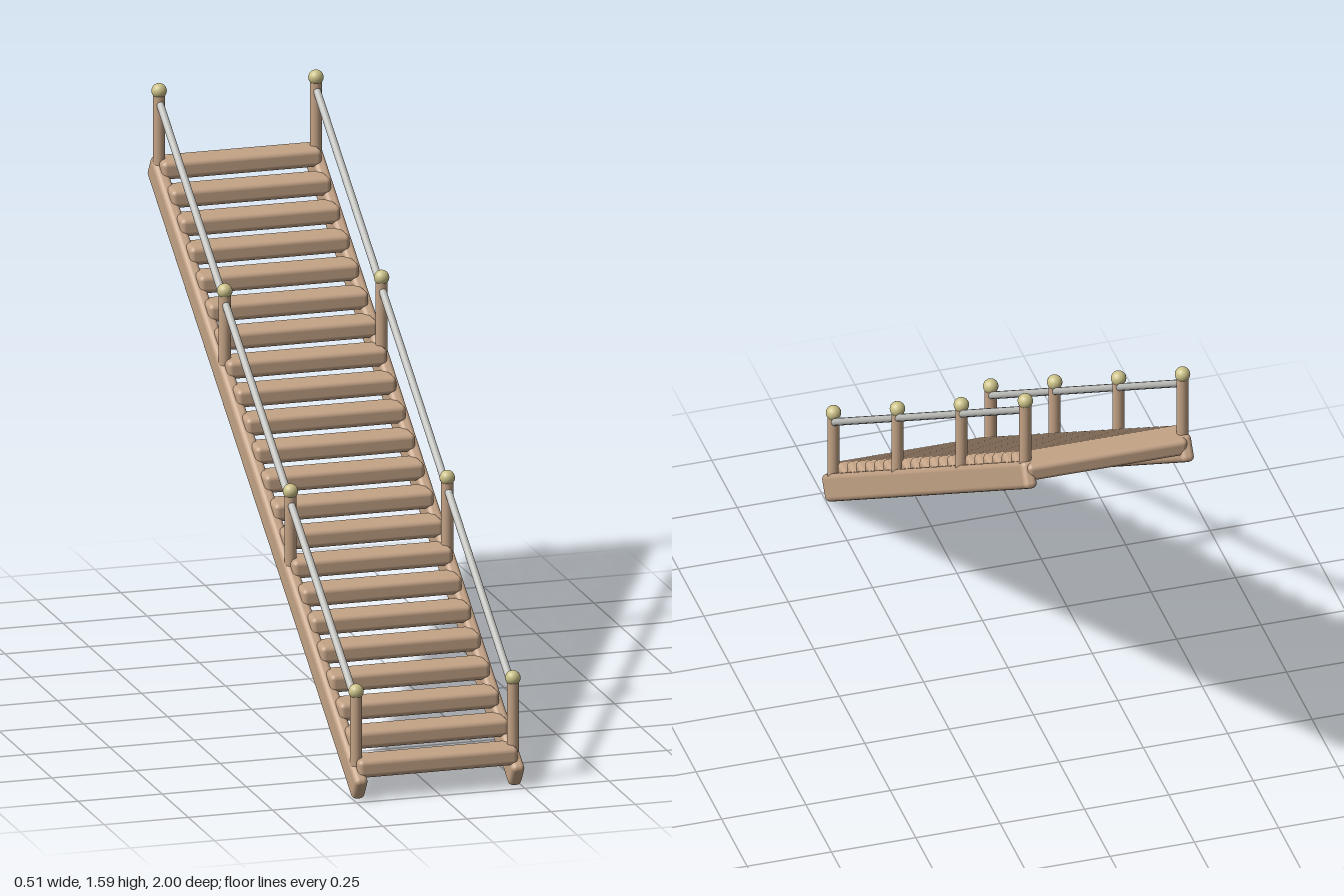
import * as THREE from 'three';
import { RoundedBoxGeometry } from 'three/addons/geometries/RoundedBoxGeometry.js';

const material = (name, color) => {
  const m = new THREE.MeshStandardMaterial({ color });
  m.name = name;
  return m;
};

export function createModel() {
  const wood = material('wood', 0xc4a386);
  const metal = material('rail metal', 0xc0c0bd);
  const brass = material('pale brass', 0xcbc188);

  const stairs = new THREE.Group();
  stairs.name = 'staircase';

  const add = (name, geometry, mat, x, y, z, tilt = 0) => {
    const mesh = new THREE.Mesh(geometry, mat);
    mesh.name = name;
    mesh.position.set(x, y, z);
    mesh.rotation.x = tilt;
    stairs.add(mesh);
    return mesh;
  };

  const sideX = 0.233;
  const slope = Math.atan2(1.31, 1.96);

  // Treads climbing from the front to the back
  const treadCount = 22;
  const treadGeo = new RoundedBoxGeometry(0.475, 0.053, 0.096, 4, 0.015);
  for (let i = 0; i < treadCount; i++) {
    const t = i / (treadCount - 1);
    add('tread', treadGeo, wood, 0, 0.092 + 1.25 * t, 0.937 - 1.874 * t);
  }

  // Sloping stringers, handrails, posts and caps on both sides
  const stringerGeo = new RoundedBoxGeometry(0.039, 0.08, 2.364, 4, 0.015);
  const railGeo = new THREE.CylinderGeometry(0.011, 0.011, Math.hypot(1.88, 1.255), 16);
  const postGeo = new THREE.CylinderGeometry(0.0172, 0.0172, 0.22, 20);
  const capGeo = new THREE.SphereGeometry(0.022, 20, 14);
  for (const side of [-1, 1]) {
    const x = side * sideX;
    add('stringer', stringerGeo, wood, x, 0.686, 0, slope);
    add('handrail', railGeo, metal, x, 0.909, 0, slope - Math.PI / 2);
    for (let i = 0; i < 4; i++) {
      const y = 0.313 + 0.4183 * i;
      const z = 0.94 - 0.6267 * i;
      add('post', postGeo, wood, x, y - 0.118, z);
      add('postCap', capGeo, brass, x, y, z);
    }
  }

  return stairs;
}
